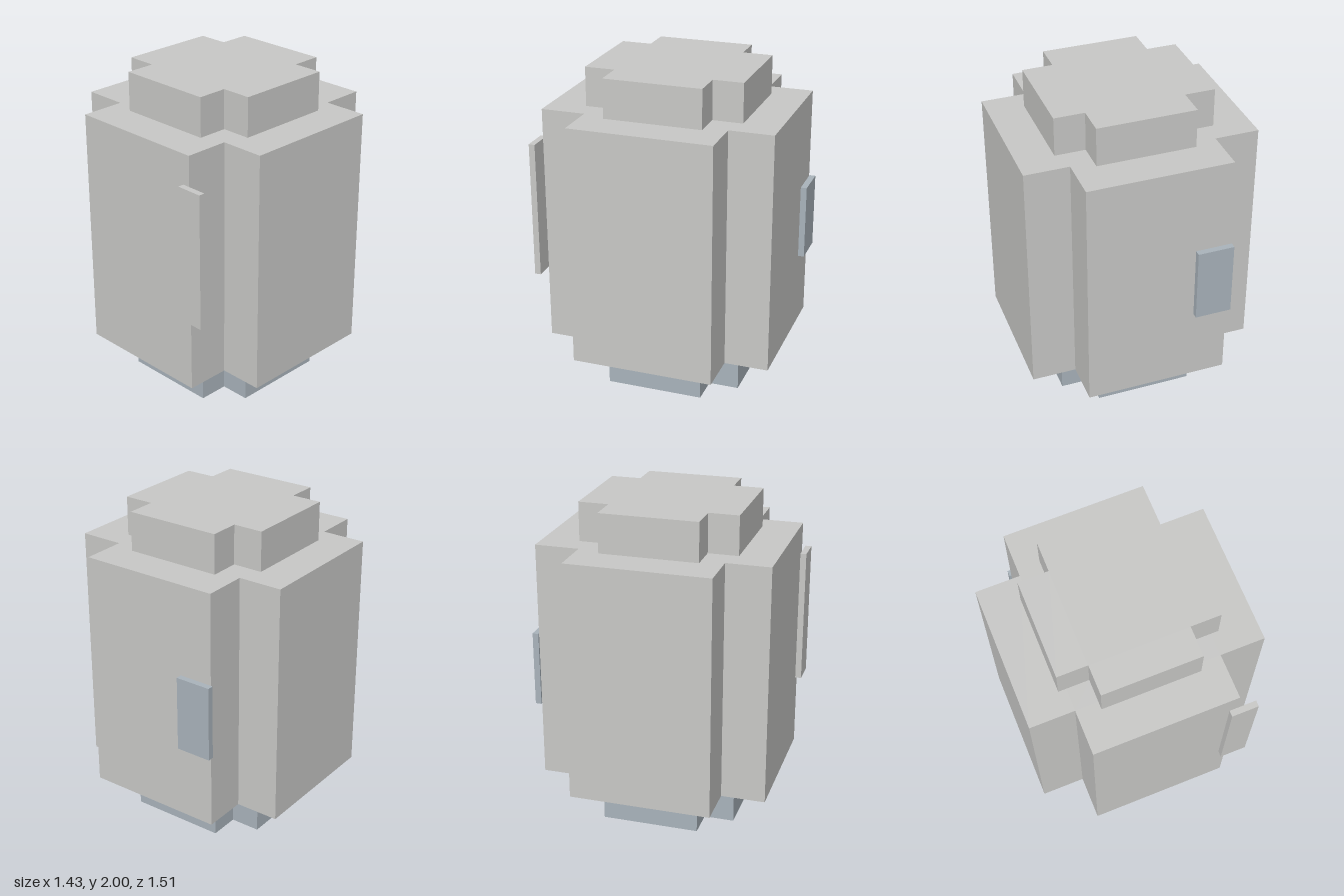
import * as THREE from 'three';

const lightGrey = new THREE.MeshStandardMaterial({ color: 0xc8c8c6 });
lightGrey.name = 'lightGrey';
const blueGrey = new THREE.MeshStandardMaterial({ color: 0xa9b3bb });
blueGrey.name = 'blueGrey';

// Upright prism with a plus-shaped plan: arms reach r, each arm is 2 * w wide
function crossPrism(name, r, w, y0, y1, bottom, rest) {
  const outline = [[w, -r], [w, -w], [r, -w], [r, w], [w, w], [w, r],
    [-w, r], [-w, w], [-r, w], [-r, -w], [-w, -w], [-w, -r]];
  const shape = new THREE.Shape(outline.map(([x, y]) => new THREE.Vector2(x, y)));
  const geometry = new THREE.ExtrudeGeometry(shape, { depth: y1 - y0, bevelEnabled: false });
  geometry.rotateX(-Math.PI / 2).translate(0, y0, 0);

  // The first half of the cap faces is the underside
  const half = geometry.groups[0].count / 2;
  const total = geometry.attributes.position.count;
  geometry.clearGroups();
  geometry.addGroup(0, half, 0);
  geometry.addGroup(half, total - half, 1);

  const mesh = new THREE.Mesh(geometry, [bottom, rest]);
  mesh.name = name;
  return mesh;
}

// Flat box given by its limits on each axis
function panel(name, [x0, x1], [y0, y1], [z0, z1], material) {
  const mesh = new THREE.Mesh(new THREE.BoxGeometry(x1 - x0, y1 - y0, z1 - z0), material);
  mesh.position.set((x0 + x1) / 2, (y0 + y1) / 2, (z0 + z1) / 2);
  mesh.name = name;
  return mesh;
}

export function createModel() {
  const model = new THREE.Group();
  model.name = 'crossBlock';
  model.add(
    // Stacked cross-shaped blocks
    crossPrism('base', 0.49, 0.303, 0, 0.248, blueGrey, blueGrey),
    crossPrism('body', 0.717, 0.443, 0.248, 1.757, blueGrey, lightGrey),
    crossPrism('topCap', 0.49, 0.303, 1.757, 2, lightGrey, lightGrey),
    // Raised panels on the front and back
    panel('frontPanel', [0.395, 0.562], [0.72, 1.57], [0.717, 0.755], lightGrey),
    panel('backPanel', [-0.455, -0.228], [0.72, 1.19], [-0.755, -0.717], blueGrey),
  );
  return model;
}
